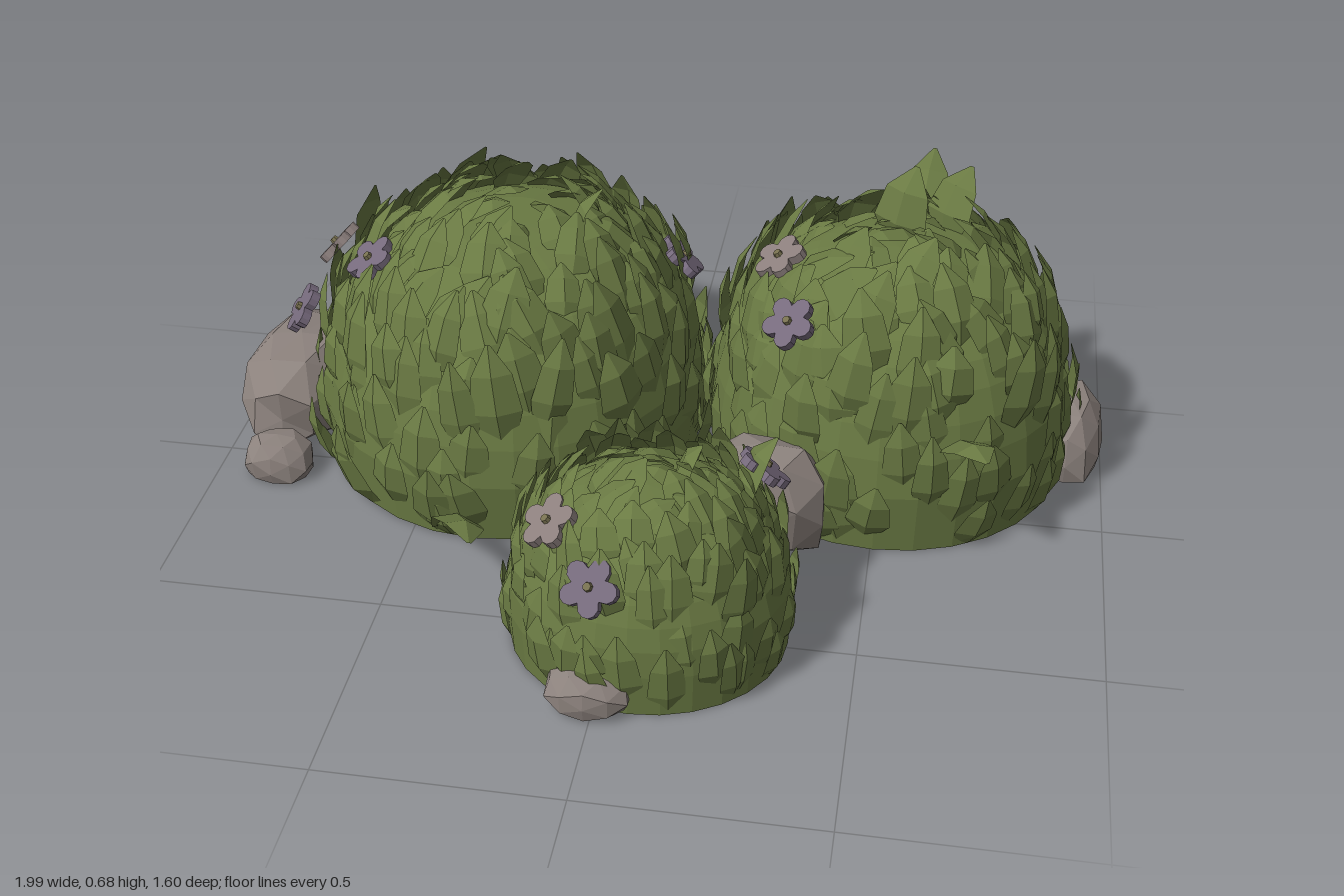
import * as THREE from 'three';
import { mergeGeometries } from 'three/addons/utils/BufferGeometryUtils.js';

const V = (x, y, z) => new THREE.Vector3(x, y, z);
const mat = (name, color, extra = {}) => {
  const m = new THREE.MeshStandardMaterial({ color, flatShading: true, ...extra });
  m.name = name;
  return m;
};

// small seeded generator
function seeded(s) {
  return () => {
    s = (s * 16807) % 2147483647;
    return s / 2147483647;
  };
}

// point and outward normal on a bush dome; angle a around, e from rim (0) to crown (PI/2)
function domePoint(b, a, e) {
  const k = 2 / 2.8;
  const y = b.h * Math.pow(Math.sin(e), k);
  const r = Math.pow(Math.max(Math.cos(e), 0), k) * (0.96 + 0.04 * Math.min(1, y / 0.15));
  return V(b.x + b.rx * r * Math.sin(a), y, b.z + b.rz * r * Math.cos(a));
}
function domeNormal(b, a, e) {
  const q = 1.29;
  const c = Math.pow(Math.cos(e), q) / b.rx;
  return V(c * Math.sin(a), Math.pow(Math.sin(e), q) / b.h, c * Math.cos(a)).normalize();
}

// folded pointed leaf from cross-sections along an arched midrib
function leafGeometry(base, dir, normal, length, width, arch) {
  const side = V(0, 0, 0).crossVectors(dir, normal).normalize();
  const up = V(0, 0, 0).crossVectors(side, dir).normalize();
  const rows = [[0, 0.6], [0.3, 1], [0.7, 0.8], [1, 0.08]];
  const pos = [], index = [];
  rows.forEach(([t, w], i) => {
    const mid = base.clone().addScaledVector(dir, t * length).addScaledVector(up, arch * length * (t - t * t));
    for (const s of [1, 0, -1]) {
      const p = mid.clone().addScaledVector(side, s * w * width / 2);
      if (s === 0) p.addScaledVector(up, width * 0.16 * w);
      pos.push(p.x, Math.max(p.y, 0), p.z);
    }
    if (i < 3) {
      for (let j = 0; j < 2; j++) {
        const a = i * 3 + j, b = a + 1, c = a + 3, d = a + 4;
        index.push(a, c, b, b, c, d);
      }
    }
  });
  const g = new THREE.BufferGeometry();
  g.setAttribute('position', new THREE.Float32BufferAttribute(pos, 3));
  g.setIndex(index);
  g.computeVertexNormals();
  return g;
}

function buildBush(b, leafMat) {
  const group = new THREE.Group();
  group.name = b.name;
  const rnd = seeded(b.seed);

  // solid dome with a flat underside
  const unit = { ...b, x: 0, z: 0, rx: 1, rz: 1 };
  const profile = [new THREE.Vector2(0, 0)];
  for (let i = 0; i <= 10; i++) {
    const p = domePoint(unit, 0, i / 10 * Math.PI / 2);
    profile.push(new THREE.Vector2(Math.max(p.z, 0), p.y));
  }
  const core = new THREE.Mesh(new THREE.LatheGeometry(profile, 28), leafMat);
  core.scale.set(b.rx, 1, b.rz);
  core.position.set(b.x, 0, b.z);
  core.name = 'bushCore';
  group.add(core);

  // overlapping leaves, long and upright on the sides, raised at the crown
  const leaves = [];
  for (let i = 0; i < b.count; i++) {
    const f = (i + 0.5) / b.count;
    const e = Math.asin(Math.pow(f, 1.1) * 0.995);
    const a = i * 2.39996 + (rnd() - 0.5) * 0.4;
    const n = domeNormal(b, a, e);
    const rise = domePoint(b, a, Math.min(e + 0.08, 1.57)).sub(domePoint(b, a, e)).normalize();
    const around = V(0, 0, 0).crossVectors(n, rise);
    const crown = Math.pow(Math.sin(e), 3);
    const dir = rise.clone()
      .addScaledVector(around, (rnd() - 0.5) * (0.4 + crown * 1.6))
      .addScaledVector(n, 0.05 + rnd() * 0.25 + crown * (0.05 + rnd() * 0.55))
      .normalize();
    const length = b.leaf * (1.4 - 0.4 * crown) * (0.8 + rnd() * 0.4);
    const width = b.leaf * (0.62 + rnd() * 0.25);
    const base = domePoint(b, a, e).addScaledVector(n, -0.015);
    if (e < 0.3) base.y = Math.max(0, base.y - 0.06);
    leaves.push(leafGeometry(base, dir, n, length, width, 0.1 + rnd() * 0.35));
  }

  // long stray leaves, arching outward: base, tip, width
  for (const [p, q, w] of b.strays) {
    const base = V(...p), d = V(...q).sub(base), length = d.length();
    leaves.push(leafGeometry(base, d.normalize(), V(b.x - base.x, 0.6, b.z - base.z), length, w, 0.55));
  }
  const foliage = new THREE.Mesh(mergeGeometries(leaves), leafMat);
  foliage.name = 'leaves';
  group.add(foliage);
  return group;
}

// faceted boulder, cut flat at the ground
function buildRock([x, y, z, rx, ry, rz, lean, seed], material) {
  const g = new THREE.IcosahedronGeometry(1, 1);
  const p = g.attributes.position;
  for (let i = 0; i < p.count; i++) {
    const v = V(0, 0, 0).fromBufferAttribute(p, i);
    const m = Math.max(Math.abs(v.x), Math.abs(v.y), Math.abs(v.z));
    v.multiplyScalar(Math.min(1, 0.86 / m + 0.04) + 0.05 * Math.sin(v.x * 3 + v.y * 5 + v.z * 4 + seed));
    const h = Math.max(0, y + v.y * ry);
    p.setXYZ(i, x + v.x * rx, h, z + v.z * rz + lean * (h - y));
  }
  g.computeVertexNormals();
  const rock = new THREE.Mesh(g, material);
  rock.name = 'rock';
  return rock;
}

// five-petal blossom facing along its normal
function buildFlower(pos, normal, size, petalMat, centreMat, turn) {
  const flower = new THREE.Group();
  flower.name = 'flower';
  const outline = [];
  for (let i = 0; i < 30; i++) {
    const a = i / 30 * Math.PI * 2;
    const r = size * (0.6 + 0.4 * Math.pow(Math.abs(Math.cos(a * 2.5)), 0.8));
    outline.push(new THREE.Vector2(r * Math.cos(a + turn), r * Math.sin(a + turn)));
  }
  const g = new THREE.ExtrudeGeometry(new THREE.Shape(outline), { depth: 0.02, bevelEnabled: false });
  const petals = new THREE.Mesh(g, petalMat);
  petals.name = 'petals';
  const centre = new THREE.Mesh(new THREE.CylinderGeometry(size * 0.14, size * 0.18, 0.012, 7), centreMat);
  centre.rotation.x = Math.PI / 2;
  centre.position.z = 0.023;
  centre.name = 'flowerCentre';
  flower.add(petals, centre);
  flower.position.copy(pos);
  flower.quaternion.setFromUnitVectors(V(0, 0, 1), normal);
  return flower;
}

export function createModel() {
  const model = new THREE.Group();
  model.name = 'bushCluster';
  const leafGreen = mat('leafGreen', 0x6a7a43, { side: THREE.DoubleSide });
  const stone = mat('stone', 0x8c827d);
  const palePetal = mat('palePetal', 0x8c7f7d);
  const mauvePetal = mat('mauvePetal', 0x766a7c);
  const pollen = mat('pollen', 0x77704f);

  const bushes = [
    { name: 'largeBush', x: -0.36, z: -0.21, rx: 0.445, rz: 0.475, h: 0.545, count: 195, leaf: 0.135, seed: 71,
      strays: [[[-0.46, 0.15, -0.63], [-0.49, 0.36, -0.8], 0.12], [[-0.6, 0.25, -0.52], [-0.73, 0.36, -0.61], 0.12],
        [[-0.42, 0.02, 0.25], [-0.32, 0.13, 0.43], 0.11], [[-0.21, 0.48, -0.2], [-0.15, 0.64, -0.22], 0.12]] },
    { name: 'mediumBush', x: 0.505, z: -0.235, rx: 0.41, rz: 0.395, h: 0.545, count: 175, leaf: 0.13, seed: 409,
      strays: [[[0.54, 0.38, -0.56], [0.56, 0.54, -0.74], 0.11], [[0.66, 0.22, 0.08], [0.73, 0.32, 0.24], 0.11],
        [[0.5, 0.5, -0.33], [0.53, 0.68, -0.36], 0.13], [[0.6, 0.5, -0.38], [0.65, 0.65, -0.44], 0.12],
        [[0.32, 0.42, -0.14], [0.24, 0.53, -0.14], 0.1]] },
    { name: 'smallBush', x: 0.07, z: 0.485, rx: 0.3, rz: 0.275, h: 0.365, count: 130, leaf: 0.105, seed: 903,
      strays: [[[0.13, 0.33, 0.45], [0.17, 0.44, 0.44], 0.09], [[0.25, 0.28, 0.4], [0.31, 0.42, 0.36], 0.09]] },
  ];
  bushes.forEach((b) => model.add(buildBush(b, leafGreen)));

  // rocks: centre, radii, lean, shape seed
  const rocks = [
    [-0.87, 0.09, -0.19, 0.138, 0.14, 0.22, 0, 1],
    [-0.86, 0.03, 0.065, 0.085, 0.075, 0.07, 0, 4],
    [0.26, 0.09, 0.13, 0.16, 0.18, 0.125, 0.12, 2],
    [0.915, 0.05, -0.29, 0.09, 0.13, 0.14, 0, 5],
    [-0.01, 0.04, 0.725, 0.095, 0.065, 0.08, 0, 3],
  ];
  rocks.forEach((r) => model.add(buildRock(r, stone)));

  // blossoms: bush index, position, petal colour
  const blossoms = [
    [0, -0.63, 0.51, -0.04, mauvePetal], [0, -0.8, 0.36, -0.06, mauvePetal],
    [0, -0.78, 0.41, -0.27, palePetal], [0, 0.01, 0.43, -0.3, mauvePetal],
    [1, 0.26, 0.54, -0.14, palePetal], [1, 0.3, 0.49, 0.04, mauvePetal],
    [2, -0.1, 0.34, 0.61, palePetal], [2, 0.0, 0.29, 0.73, mauvePetal],
    [2, 0.28, 0.34, 0.37, mauvePetal],
  ];
  blossoms.forEach(([i, x, y, z, m], k) => {
    const b = bushes[i];
    const n = V((x - b.x) / b.rx, y / b.h * 1.1, (z - b.z) / b.rz).normalize();
    model.add(buildFlower(V(x, y, z), n, 0.06, m, pollen, k * 0.7));
  });
  return model;
}
